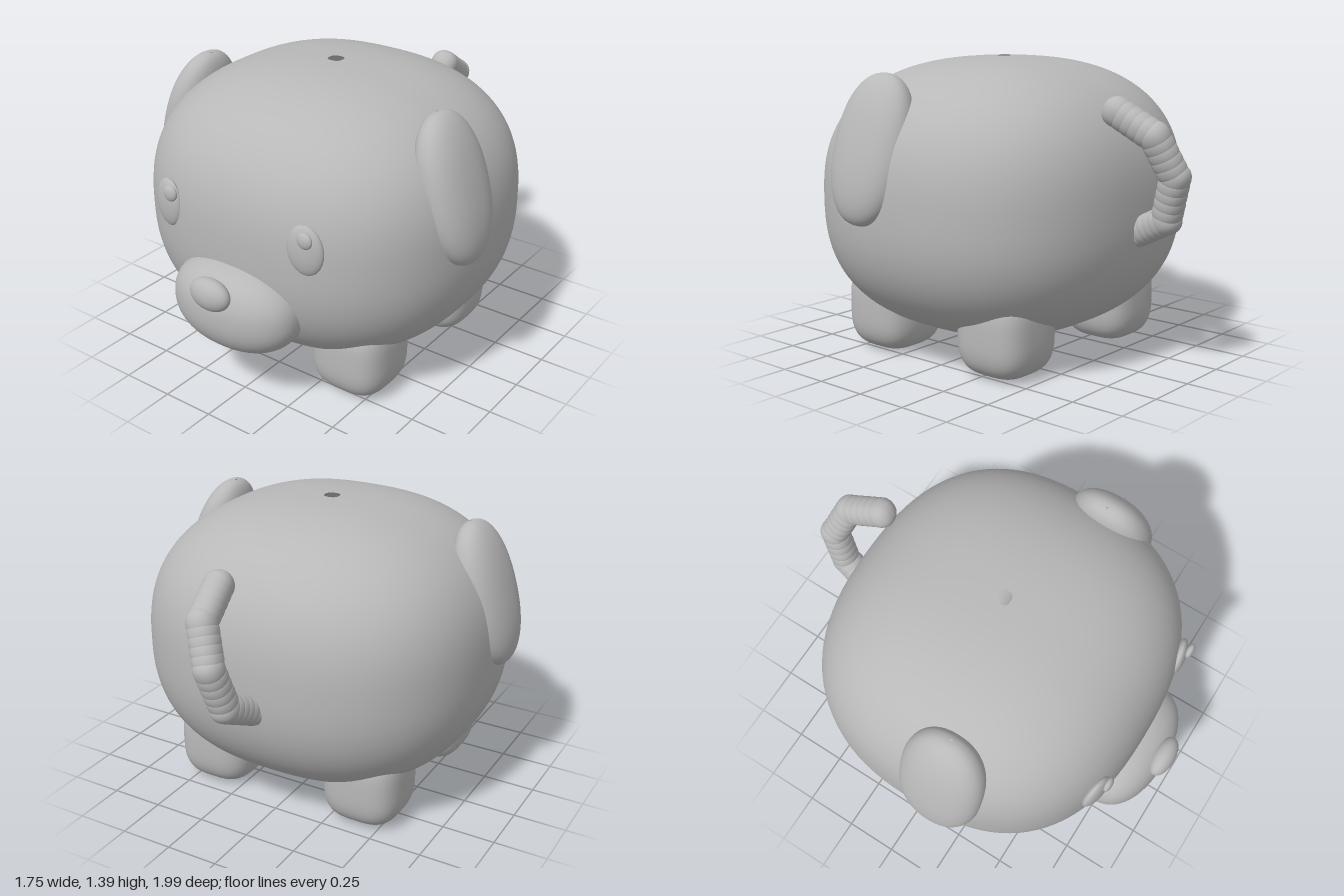
import * as THREE from 'three';

const grey = new THREE.MeshStandardMaterial({ color: 0xb8b8b8, side: THREE.DoubleSide });

// Unit superellipsoid, left open by a tiny hole at each pole; e = 1 is a sphere, smaller is boxier
function superellipsoid(e, segments = 64, rings = 48) {
  const gap = 0.02;
  const geo = new THREE.SphereGeometry(1, segments, rings, 0, Math.PI * 2, gap, Math.PI - 2 * gap);
  const pos = geo.attributes.position, nor = geo.attributes.normal;
  const pow = (v, k) => Math.sign(v) * Math.pow(Math.abs(v), k);
  const p = 2 / e, n = new THREE.Vector3();
  for (let i = 0; i < pos.count; i++) {
    const x = pow(pos.getX(i), e), y = pow(pos.getY(i), e), z = pow(pos.getZ(i), e);
    pos.setXYZ(i, x, y, z);
    n.set(pow(x, p - 1), pow(y, p - 1), pow(z, p - 1)).normalize();
    nor.setXYZ(i, n.x, n.y, n.z);
  }
  return geo;
}

export function createModel() {
  const model = new THREE.Group();
  model.name = 'roundPuppy';
  const round = superellipsoid(1);
  const soft = superellipsoid(0.9);
  const bodyShape = superellipsoid(0.8, 96, 64);
  const footShape = superellipsoid(0.62);
  const beadShape = superellipsoid(0.9, 32, 24);

  function blob(name, geo, position, scale, rotation = [0, 0, 0]) {
    const mesh = new THREE.Mesh(geo, grey);
    mesh.name = name;
    mesh.position.set(...position);
    mesh.scale.set(...scale);
    mesh.rotation.set(...rotation);
    model.add(mesh);
    return mesh;
  }

  blob('body', bodyShape, [0, 0.745, 0.04], [0.82, 0.65, 0.78]);
  blob('muzzle', soft, [0, 0.48, 0.76], [0.325, 0.21, 0.2]);
  blob('nose', round, [0, 0.597, 0.943], [0.104, 0.075, 0.054]);

  for (const s of [1, -1]) {
    const side = s > 0 ? 'left' : 'right';
    blob(side + 'Ear', soft, [s * 0.725, 1.008, 0.185], [0.114, 0.342, 0.205], [0, 0, s * 0.29]);
    blob(side + 'Eye', round, [s * 0.379, 0.855, 0.769], [0.084, 0.115, 0.032], [0, s * 0.2, s * 0.08]);
    blob(side + 'FrontFoot', footShape, [s * 0.395, 0.215, 0.393], [0.19, 0.21, 0.19]);
    blob(side + 'BackFoot', footShape, [s * 0.395, 0.215, -0.302], [0.19, 0.21, 0.19]);
    // Both glints sit to the same side of their eye
    blob(side + 'EyeGlint', round, [s * 0.37 + 0.032, 0.92, 0.803], [0.037, 0.037, 0.018]);
  }

  // Tail: overlapping beads along a bent path
  const path = [
    [-0.025, 0.64, -0.72], [0, 0.715, -0.872], [0.03, 0.91, -0.93],
    [0.1, 1.085, -0.868], [0.13, 1.182, -0.7],
  ].map((p) => new THREE.Vector3(...p));
  const up = new THREE.Vector3(0, 1, 0);
  for (let k = 0; k < path.length - 1; k++) {
    const dir = path[k + 1].clone().sub(path[k]).normalize();
    const steps = 5;
    for (let i = 0; i <= steps; i++) {
      if (i === 0 && k > 0) continue;
      const p = path[k].clone().lerp(path[k + 1], i / steps);
      const bead = blob('tailBead', beadShape, p.toArray(), [0.067, 0.067, 0.067]);
      bead.quaternion.setFromUnitVectors(up, dir);
    }
  }
  return model;
}
